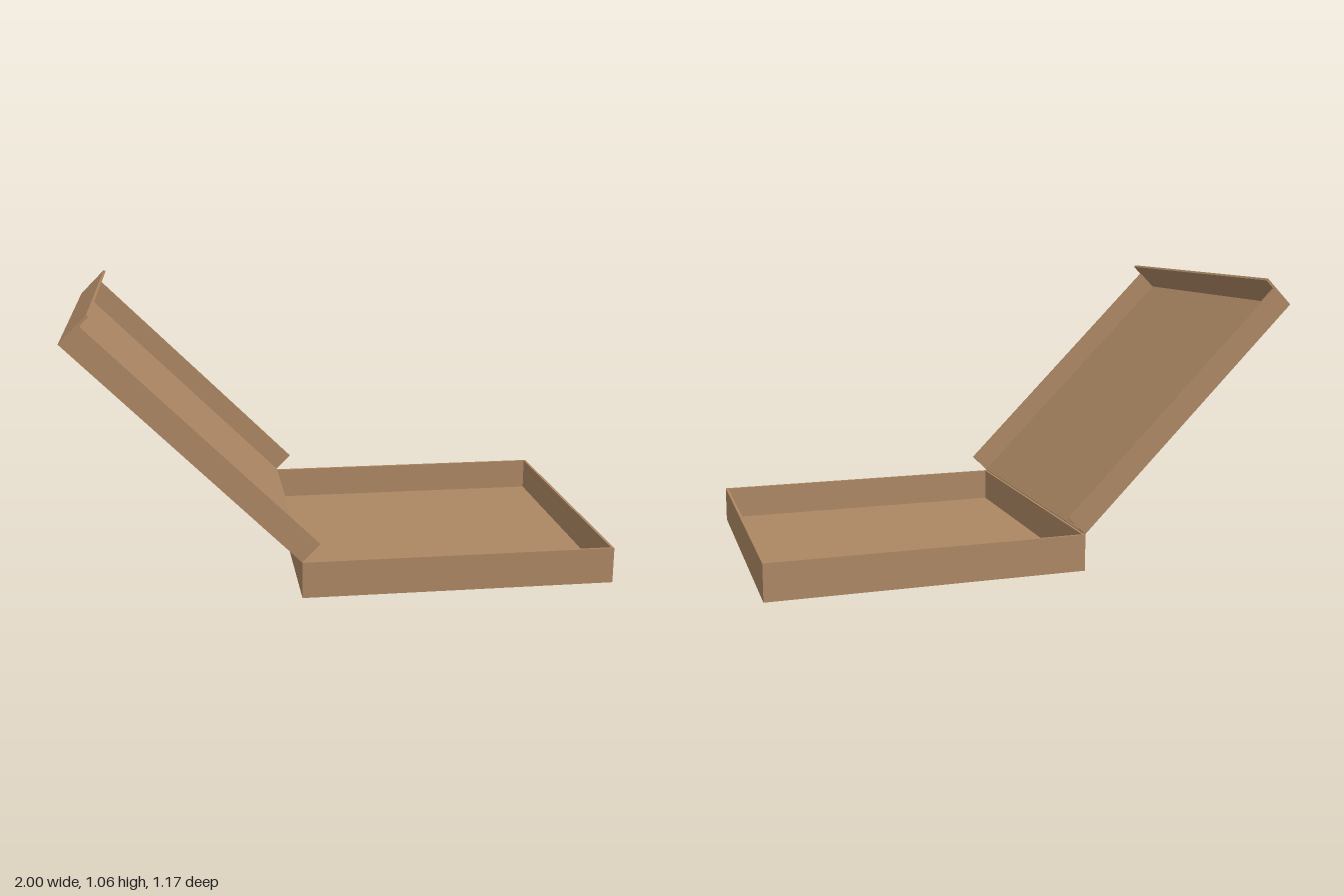
import * as THREE from 'three';

const kraft = new THREE.MeshStandardMaterial({ name: 'kraft cardboard', color: 0xac8763 });
const white = new THREE.MeshStandardMaterial({ name: 'pale print', color: 0xc4c4c0 });
const red = new THREE.MeshStandardMaterial({ name: 'red print', color: 0xb03a22 });

// Box given by its minimum and maximum corners
function slab(parent, name, min, max, material = kraft) {
  const size = max.map((v, i) => v - min[i]);
  const mesh = new THREE.Mesh(new THREE.BoxGeometry(...size), material);
  mesh.position.set(...min.map((v, i) => v + size[i] / 2));
  mesh.name = name;
  parent.add(mesh);
  return mesh;
}

export function createModel() {
  const model = new THREE.Group();
  model.name = 'openBox';
  const T = 0.01; // cardboard thickness

  // Open tray
  const tray = new THREE.Group();
  tray.name = 'tray';
  model.add(tray);
  const x0 = -0.175, x1 = 1, W = 0.585, H = 0.137;
  slab(tray, 'trayFloor', [x0, 0, -W], [x1, T, W]);
  slab(tray, 'trayHingeWall', [x0, T, -W], [x0 + T, H, W]);
  slab(tray, 'trayFrontWall', [x1 - T, T, -W], [x1, H, W]);
  for (const s of [-1, 1]) {
    const z = s * (W - T / 2);
    slab(tray, 'traySideWall', [x0 + T, T, z - T / 2], [x1 - T, H, z + T / 2]);
  }

  // Lid swung open about the hinge; its outside is local +y, its free end local +x
  const lid = new THREE.Group();
  lid.name = 'lid';
  lid.position.set(x0, H, 0);
  lid.rotation.z = THREE.MathUtils.degToRad(135);
  model.add(lid);
  const L = 1.165, D = 0.095, V = 0.582;
  slab(lid, 'lidPanel', [0, -T, -V], [L, 0, V]);
  slab(lid, 'lidEndFlap', [L - T, -0.14, -V], [L, -T, V]);
  for (const s of [-1, 1]) {
    const z = s * (V - T / 2);
    slab(lid, 'lidSideWall', [0, -D, z - T / 2], [L - T, -T, z + T / 2]);
  }

  // Printed panel and disc on the outside of the lid
  slab(lid, 'printedPanel', [0.06, 0, -V + 0.06], [L - 0.06, 0.002, V - 0.06], white);
  const disc = new THREE.Mesh(new THREE.CylinderGeometry(0.34, 0.34, 0.002, 48), red);
  disc.name = 'printedDisc';
  disc.position.set(L / 2, 0.003, 0);
  lid.add(disc);

  return model;
}
